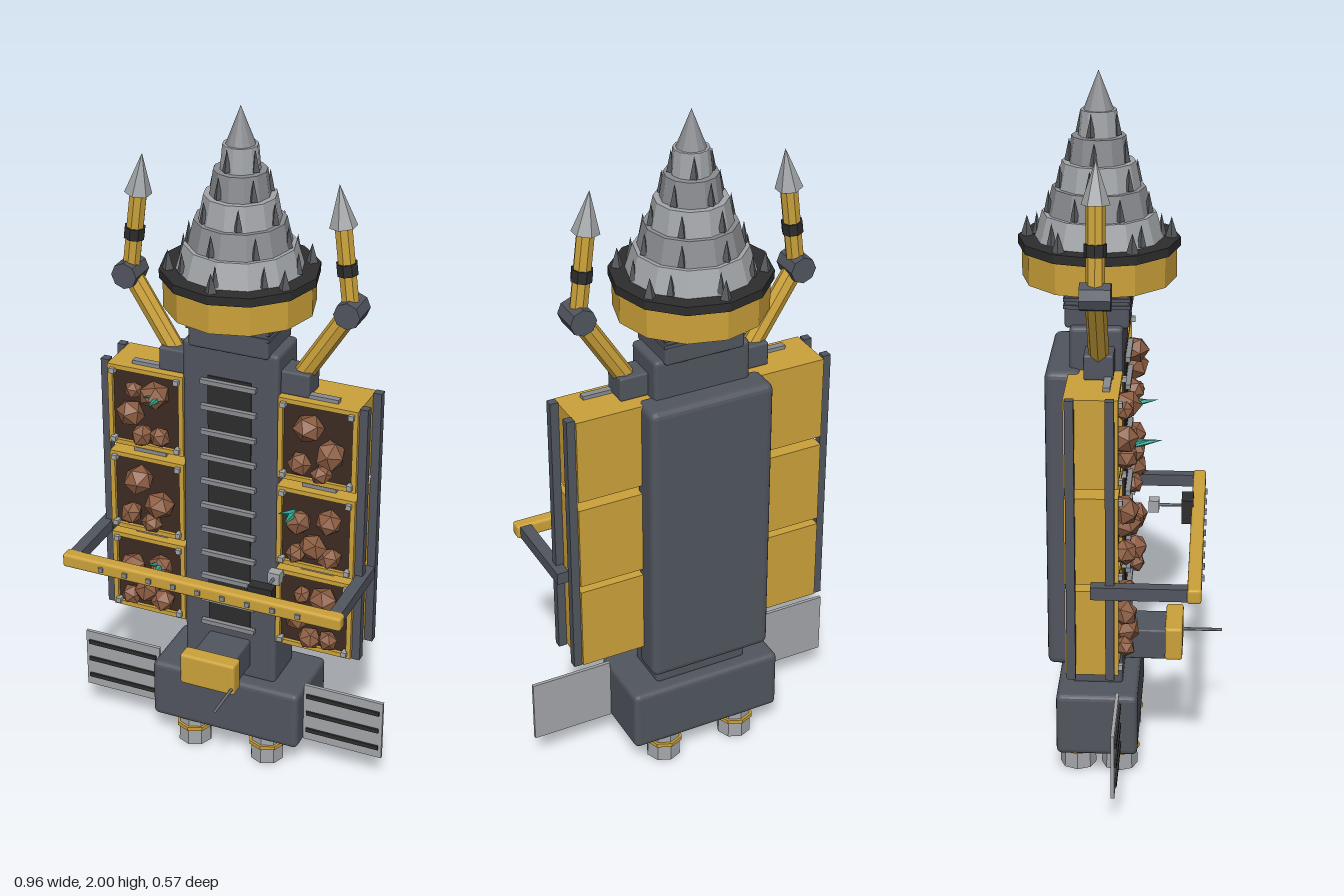
import * as THREE from 'three';
import { RoundedBoxGeometry } from 'three/addons/geometries/RoundedBoxGeometry.js';

const mat = (name, color, flatShading = true) => {
  const m = new THREE.MeshStandardMaterial({ color, flatShading });
  m.name = name;
  return m;
};

export function createModel() {
  const yellow = mat('yellow paint', 0xcca23a);
  const hull = mat('slate hull', 0x51555e);
  const black = mat('black rubber', 0x2d2d2d);
  const steel = mat('light steel', 0xa3a6a9);
  const darkSteel = mat('dark steel', 0x8a8c90);
  const toothMat = mat('tooth iron', 0x55585c);
  const soil = mat('dark soil', 0x3d2b23);
  const rockMat = mat('brown rock', 0x8c5d42);
  const teal = mat('teal crystal', 0x2fa892);

  const model = new THREE.Group();
  model.name = 'drillShip';
  const group = (name, parent = model) => {
    const g = new THREE.Group();
    g.name = name;
    parent.add(g);
    return g;
  };
  const add = (parent, name, geo, material, x, y, z) => {
    const m = new THREE.Mesh(geo, material);
    m.name = name;
    m.position.set(x, y, z);
    parent.add(m);
    return m;
  };
  const box = (p, name, m, w, h, d, x, y, z, r = 0) => add(p, name,
    r ? new RoundedBoxGeometry(w, h, d, 2, r) : new THREE.BoxGeometry(w, h, d), m, x, y, z);
  const cyl = (p, name, m, rt, rb, h, n, x, y, z) =>
    add(p, name, new THREE.CylinderGeometry(rt, rb, h, n), m, x, y, z);
  // cylinder or cone from a to b
  const strut = (p, name, m, a, b, ra, rb, n = 8) => {
    const A = new THREE.Vector3(...a), B = new THREE.Vector3(...b), d = B.clone().sub(A);
    const c = A.clone().lerp(B, 0.5);
    const s = cyl(p, name, m, rb, ra, d.length(), n, c.x, c.y, c.z);
    s.quaternion.setFromUnitVectors(new THREE.Vector3(0, 1, 0), d.normalize());
    return s;
  };

  // Hull column, back tank, engine block and neck
  const AZ = -0.066;
  box(model, 'column', hull, 0.286, 1.07, 0.144, 0, 0.8, -0.067, 0.012);
  box(model, 'backTank', hull, 0.37, 0.875, 0.1, 0, 0.783, -0.155, 0.02);
  box(model, 'engineBlock', hull, 0.466, 0.188, 0.23, 0, 0.178, -0.065, 0.016);
  box(model, 'neck', hull, 0.236, 0.12, 0.174, 0, 1.385, AZ, 0.008);
  for (const y of [1.385, 1.405]) box(model, 'neckBand', hull, 0.246, 0.01, 0.18, 0, y, AZ);

  // Drill head
  const drill = group('drillHead');
  drill.position.z = AZ;
  cyl(drill, 'collar', yellow, 0.21, 0.21, 0.09, 12, 0, 1.483, 0);
  cyl(drill, 'collarRim', black, 0.22, 0.22, 0.025, 12, 0, 1.538, 0);
  for (let i = 0; i < 6; i++) {
    const a = i * Math.PI / 3;
    cyl(drill, 'rimSpike', toothMat, 0, 0.017, 0.055, 4, Math.sin(a) * 0.195, 1.578, Math.cos(a) * 0.195);
  }
  [0.175, 0.143, 0.113, 0.083, 0.055].forEach((r, i) => {
    const y = 1.55 + i * 0.069;
    cyl(drill, 'drillTier', i % 2 ? darkSteel : steel, r * 0.88, r, 0.07, 12, 0, y + 0.035, 0);
    const n = [8, 7, 6, 5, 4][i];
    for (let k = 0; k < n; k++) {
      const a = k / n * Math.PI * 2 + i * 0.7;
      cyl(drill, 'drillTooth', toothMat, 0, 0.013, 0.06, 4, Math.sin(a) * r * 0.96, y + 0.035, Math.cos(a) * r * 0.96);
    }
  });
  cyl(drill, 'drillTip', darkSteel, 0, 0.042, 0.108, 12, 0, 1.946, 0);

  // Ladder
  const ladder = group('ladder');
  box(ladder, 'ladderShaft', black, 0.13, 0.81, 0.006, 0, 0.835, 0.006);
  for (let i = 0; i < 11; i++) box(ladder, 'rung', darkSteel, 0.165, 0.014, 0.014, 0, 0.44 + i * 0.0785, 0.016);

  // Engine nozzles
  for (const x of [-0.118, 0.118]) for (const z of [-0.005, -0.125]) {
    const n = group('nozzle');
    n.position.set(x, 0, z);
    cyl(n, 'nozzleBell', steel, 0.048, 0.052, 0.09, 8, 0, 0.045, 0);
    cyl(n, 'nozzleRing', yellow, 0.057, 0.057, 0.012, 8, 0, 0.058, 0);
    cyl(n, 'nozzleGlow', yellow, 0.038, 0.038, 0.004, 8, 0, 0.0005 + 0.001, 0).position.y = 0.001;
  }

  // Rocks per crate: x offset, y offset, radius
  const layouts = [
    [[0.035, 0.06, 0.042], [-0.04, -0.01, 0.04], [-0.005, -0.075, 0.034], [0.05, -0.07, 0.03], [-0.03, 0.065, 0.026]],
    [[-0.02, 0.055, 0.042], [0.045, -0.015, 0.042], [-0.045, -0.06, 0.034], [0.02, -0.08, 0.03]],
    [[0.045, 0.05, 0.036], [-0.045, 0.03, 0.038], [0.0, -0.04, 0.04], [-0.05, -0.07, 0.03], [0.05, -0.065, 0.034]],
  ];
  for (const s of [-1, 1]) {
    const side = s > 0 ? 'left' : 'right';
    // Ore crates
    [1.09, 0.813, 0.543].forEach((y, row) => {
      const c = group(side + 'Crate');
      c.position.set(s * 0.259, y, 0);
      const w = 0.232, h = 0.25, t = 0.014;
      box(c, 'crateBack', yellow, w, h, 0.1, 0, 0, -0.09);
      for (const k of [-1, 1]) {
        box(c, 'crateWall', yellow, t, h, 0.05, k * (w - t) / 2, 0, -0.02);
        box(c, 'crateWall', yellow, w - 2 * t, t, 0.05, 0, k * (h - t) / 2, -0.02);
        for (const j of [-1, 1]) box(c, 'crateStud', steel, 0.015, 0.015, 0.02, k * 0.099, j * 0.108, 0.006);
      }
      box(c, 'soilBed', soil, w - 2 * t, h - 2 * t, 0.035, 0, 0, -0.023);
      box(c, 'crateHandle', darkSteel, 0.1, 0.012, 0.02, 0, h / 2 + 0.005, -0.03);
      const v = (row + (s > 0 ? 1 : 0)) % 3;
      layouts[v].forEach(([x, ry, r], i) => {
        const m = add(c, 'rock', new THREE.IcosahedronGeometry(r, 0), rockMat, x, ry, 0.018);
        m.rotation.set(i * 1.3 + row, i * 2.1 + s, i * 0.7);
        m.scale.set(1.05, 0.95, 1.1);
      });
      if ((s < 0) === (row !== 1)) {
        const x = s < 0 ? 0.05 : -0.06;
        strut(c, 'crystal', teal, [x, 0.055, 0.02], [x + 0.005, 0.068, 0.105], 0.014, 0, 5);
        strut(c, 'crystal', teal, [x, 0.06, 0.02], [x - 0.025, 0.08, 0.075], 0.011, 0, 5);
      }
    });
    // Rack rails
    for (const z of [-0.017, -0.122]) box(model, side + 'RackRail', hull, 0.024, 0.805, 0.024, s * 0.388, 0.818, z);

    // Drill arm
    const arm = group(side + 'Arm'), Z = -0.056;
    box(arm, 'shoulder', hull, 0.085, 0.07, 0.08, s * 0.182, 1.25, Z, 0.006);
    strut(arm, 'upperArm', yellow, [s * 0.19, 1.265, Z], [s * 0.325, 1.48, Z], 0.028, 0.028);
    cyl(arm, 'elbow', hull, 0.038, 0.038, 0.082, 8, s * 0.326, 1.48, Z).rotation.x = Math.PI / 2;
    strut(arm, 'foreArm', yellow, [s * 0.324, 1.48, Z], [s * 0.295, 1.72, Z], 0.025, 0.025);
    strut(arm, 'armBand', black, [s * 0.3115, 1.583, Z], [s * 0.3075, 1.616, Z], 0.03, 0.03);
    strut(arm, 'armTip', steel, [s * 0.296, 1.715, Z], [s * 0.282, 1.83, Z], 0.038, 0, 6);

    // Side fin with dark stripes
    const fin = group(side + 'Fin');
    box(fin, 'finPanel', steel, 0.245, 0.192, 0.01, s * 0.356, 0.19, -0.006);
    for (const y of [0.13, 0.19, 0.25]) box(fin, 'finStripe', black, 0.225, 0.013, 0.006, s * 0.356, y, 0.002);

    // Guard rail support
    box(model, side + 'GuardSupport', hull, 0.034, 0.036, 0.27, s * 0.397, 0.68, 0.067);
  }

  // Front guard rail
  const guard = group('guardRail');
  box(guard, 'guardBar', yellow, 0.846, 0.042, 0.038, 0, 0.68, 0.209, 0.008);
  for (let i = -4; i <= 4; i++) box(guard, 'guardStud', darkSteel, 0.014, 0.014, 0.008, i * 0.075, 0.68, 0.23);

  // Control console behind the rail
  const control = group('console');
  box(control, 'consoleBox', black, 0.072, 0.072, 0.034, 0.172, 0.682, 0.178);
  strut(control, 'consoleRod', darkSteel, [0.172, 0.69, 0.07], [0.172, 0.69, 0.165], 0.005, 0.005);
  box(control, 'consoleMount', steel, 0.036, 0.036, 0.03, 0.172, 0.69, 0.08);

  // Front pod with probe
  const pod = group('frontPod');
  box(pod, 'podBase', hull, 0.13, 0.092, 0.13, 0, 0.354, 0.06, 0.006);
  box(pod, 'podCover', yellow, 0.17, 0.1, 0.05, 0, 0.365, 0.147, 0.008);
  strut(pod, 'probe', darkSteel, [0.077, 0.336, 0.165], [0.077, 0.336, 0.285], 0.005, 0.005);

  return model;
}
